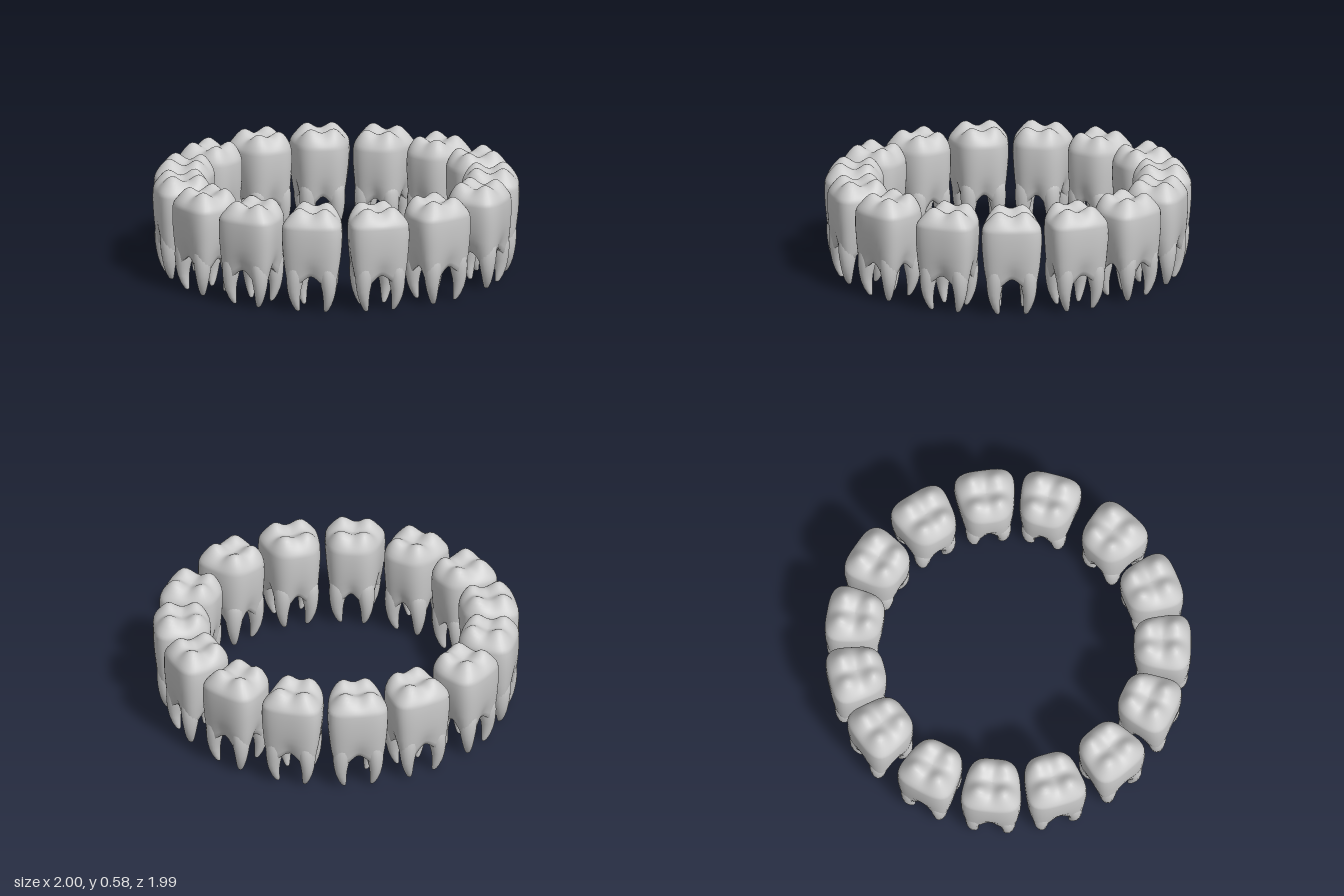
import * as THREE from 'three';
import { mergeGeometries } from 'three/addons/utils/BufferGeometryUtils.js';

// Skin a stack of closed rings, listed from bottom to top; point(ring, angle) returns [x, y, z].
function loft(rings, segs, point) {
  const pos = [], index = [];
  rings.forEach((ring, i) => {
    for (let j = 0; j < segs; j++) {
      pos.push(...point(ring, (j / segs) * Math.PI * 2));
      if (i === rings.length - 1) continue;
      const k = (j + 1) % segs;
      const a = i * segs + j, b = i * segs + k, c = a + segs, d = b + segs;
      index.push(a, c, b, b, c, d);
    }
  });
  const g = new THREE.BufferGeometry();
  g.setAttribute('position', new THREE.Float32BufferAttribute(pos, 3));
  g.setIndex(index);
  g.computeVertexNormals();
  return g;
}

// Rounded square outline, wider towards the outside of the ring (+z).
function outline(u, sx, sz) {
  const n = 3.4, c = Math.cos(u), s = Math.sin(u);
  const r = Math.pow(Math.abs(c) ** n + Math.abs(s) ** n, -1 / n);
  const z = s * r * sz;
  return [c * r * sx * (1 + 1.05 * z), z];
}

// Chewing surface: four cusps separated by a cross of grooves.
const CUSPS = [[0.072, 0.072, 1.0], [-0.07, 0.07, 0.98], [0.064, -0.08, 0.98], [-0.066, -0.078, 1.0]];
function cuspHeight(x, z) {
  let h = 0;
  for (const [cx, cz, k] of CUSPS) {
    h += k * Math.exp(-((x - cx) ** 2 + (z - cz) ** 2) / 0.0038);
  }
  return h;
}

function crownGeometry() {
  const rings = [];
  // Vaulted underside between the roots
  for (const s of [0, 0.25, 0.5, 0.75, 0.92]) {
    rings.push({ y: 0.225 - 0.055 * s * s, sx: 0.13 * s, sz: 0.13 * s, flute: 0.14, arch: 0.035 * s * s });
  }
  // Side walls: height, half width, half depth, fluting, scallop of the lower rim
  const walls = [
    [0.17, 0.131, 0.134, 0.14, 0.035], [0.20, 0.137, 0.14, 0.11, 0.03],
    [0.24, 0.144, 0.145, 0.07, 0.02], [0.28, 0.149, 0.15, 0.04, 0.01],
    [0.33, 0.153, 0.154, 0.02, 0], [0.38, 0.156, 0.157, 0.01, 0],
    [0.43, 0.157, 0.157, 0, 0], [0.47, 0.155, 0.156, 0, 0],
  ];
  for (const [y, sx, sz, flute, arch] of walls) rings.push({ y, sx, sz, flute, arch });
  // Rounded shoulder and cusps
  for (const s of [0.985, 0.96, 0.92, 0.87, 0.8, 0.72, 0.63, 0.54, 0.45, 0.36, 0.27, 0.18, 0.09, 0]) {
    rings.push({ y: 0.47, sx: 0.155 * s, sz: 0.156 * s, flute: 0, arch: 0, top: s });
  }
  return loft(rings, 56, (r, u) => {
    const f = 1 - r.flute * Math.cos(2 * u) ** 2;
    const [x, z] = outline(u, r.sx * f, r.sz * f);
    let y = r.y + r.arch * Math.cos(4 * u);
    if (r.top !== undefined) y += (1 - r.top ** 7) ** 0.6 * (0.043 + 0.064 * cuspHeight(x, z));
    return [x, y, z];
  });
}

// Tapered, slightly curved root, given the signs of its corner.
function rootGeometry(sideX, sideZ) {
  const taper = sideZ > 0 ? 1.04 : 0.88;
  // height, distance from the middle in x and z, radius
  const rings = [
    [0, 0.073, 0.076, 0], [0.002, 0.073, 0.076, 0.008], [0.012, 0.076, 0.079, 0.014],
    [0.04, 0.083, 0.085, 0.022], [0.08, 0.09, 0.09, 0.03], [0.12, 0.092, 0.091, 0.037],
    [0.16, 0.09, 0.09, 0.044], [0.20, 0.088, 0.089, 0.048], [0.24, 0.085, 0.087, 0.049],
    [0.30, 0.08, 0.083, 0.045], [0.34, 0.07, 0.075, 0],
  ];
  return loft(rings, 18, ([y, cx, cz, r], u) => [
    sideX * cx * taper + Math.cos(u) * r,
    y,
    sideZ * cz + Math.sin(u) * r * 1.08,
  ]);
}

export function createModel() {
  const model = new THREE.Group();
  model.name = 'toothRing';
  const material = new THREE.MeshStandardMaterial({ color: 0xcccccc });

  const crown = crownGeometry();
  const roots = mergeGeometries([[1, 1], [-1, 1], [1, -1], [-1, -1]].map(([x, z]) => rootGeometry(x, z)));

  // Fifteen teeth around the circle, with slightly uneven spacing (degrees)
  const angles = [0, 27.5, 50.7, 74.5, 99, 122.8, 145.6, 168.5, 193.7, 217, 239.7, 263.8, 288.3, 312, 335.2];
  angles.forEach((deg, i) => {
    const a = THREE.MathUtils.degToRad(deg);
    const tooth = new THREE.Group();
    tooth.name = `tooth${i + 1}`;
    const crownMesh = new THREE.Mesh(crown, material);
    crownMesh.name = 'crown';
    const rootMesh = new THREE.Mesh(roots, material);
    rootMesh.name = 'roots';
    tooth.add(crownMesh, rootMesh);
    tooth.position.set(Math.sin(a) * 0.842, 0, Math.cos(a) * 0.842 - 0.004);
    tooth.rotation.y = a;
    model.add(tooth);
  });
  return model;
}
